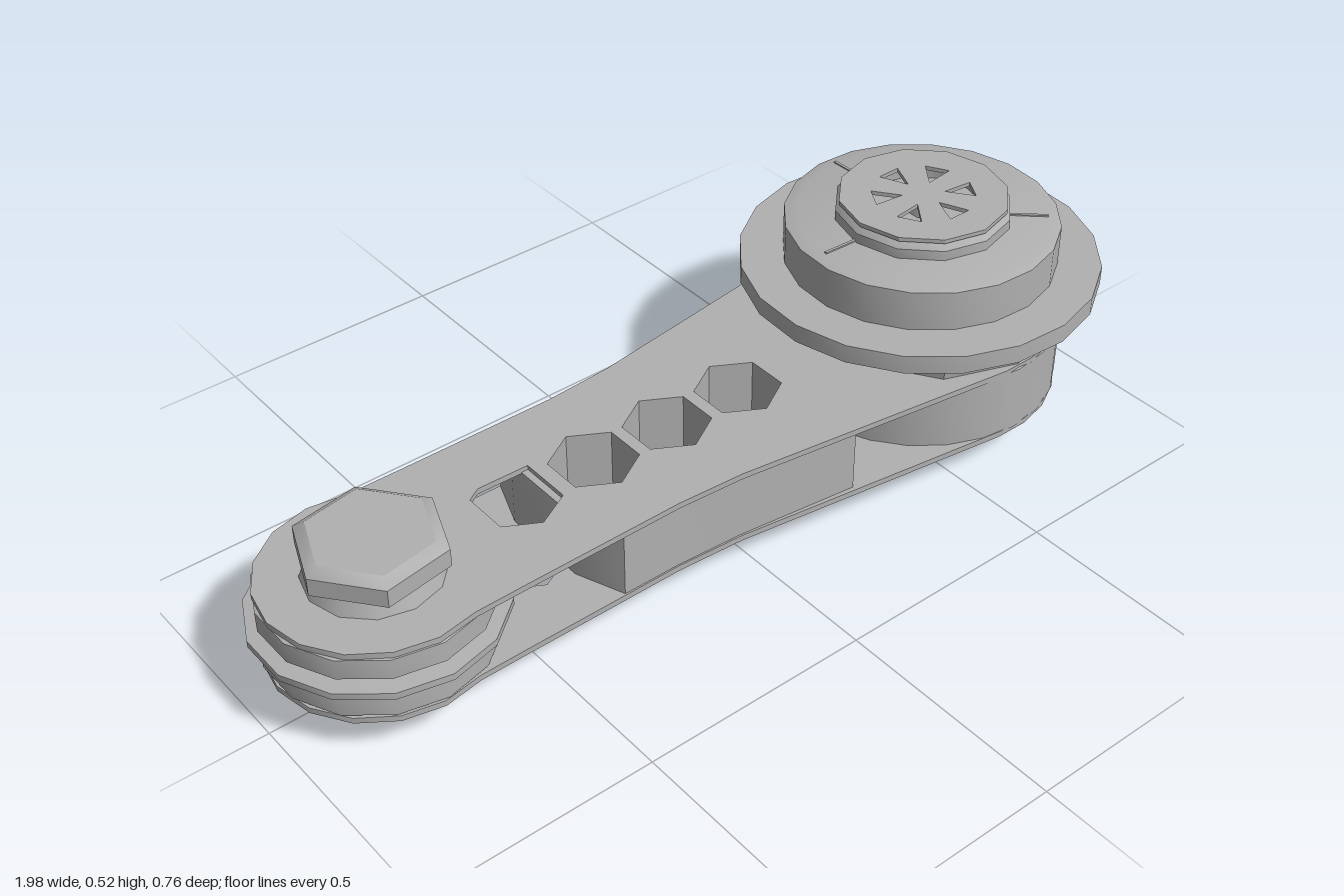
import * as THREE from 'three';
import { toCreasedNormals } from 'three/addons/utils/BufferGeometryUtils.js';

const steel = new THREE.MeshStandardMaterial({ color: 0xb0b0b0 });
steel.name = 'grey steel';

const WHEEL_X = 0.617, BOLT_X = -0.745;

export function createModel() {
  const model = new THREE.Group();
  model.name = 'tensionerArm';

  const add = (name, geometry, x = 0, y = 0, turn = 0) => {
    const mesh = new THREE.Mesh(geometry, steel);
    mesh.name = name;
    mesh.position.set(x, y, 0);
    mesh.rotation.y = turn;
    model.add(mesh);
    return mesh;
  };

  // Turned part: [radius, y] points listed from the bottom up around the outside
  const turned = (points, sides) => toCreasedNormals(
    new THREE.LatheGeometry(points.map(([r, y]) => new THREE.Vector2(r, y)), sides), 0.6);

  // Flat part cut from a shape seen from above, starting at height y
  const slab = (shape, y, depth) => {
    const g = new THREE.ExtrudeGeometry(shape, { depth, bevelEnabled: false });
    g.rotateX(-Math.PI / 2).translate(0, y, 0);
    return toCreasedNormals(g, 0.5);
  };

  const arc = (cx, r, from, to, n) => Array.from({ length: n + 1 }, (_, i) => {
    const a = THREE.MathUtils.degToRad(from + (to - from) * i / n);
    return new THREE.Vector2(cx + r * Math.cos(a), r * Math.sin(a));
  });
  const poly = (pts) => pts.map(([x, z]) => new THREE.Vector2(x, z));

  // Lightening holes: one squared-off and three hexagons
  const hexHoles = [-0.245, -0.063, 0.12].map((x) => arc(x, 0.09, 30, 330, 5));
  const squareHole = poly([[-0.5, 0.05], [-0.47, 0.068], [-0.355, 0.065],
    [-0.355, -0.05], [-0.43, -0.09], [-0.5, -0.05]]);
  const bore = arc(WHEEL_X, 0.215, 0, 330, 11);

  // Upper and lower plates
  const outline = [
    ...arc(BOLT_X, 0.225, 70, 290, 10),
    ...poly([[-0.55, -0.21], [-0.2, -0.208], [-0.05, -0.217]]),
    ...arc(WHEEL_X, 0.308, -97, 97, 14),
    ...poly([[-0.05, 0.217], [-0.2, 0.208], [-0.55, 0.21]]),
  ];
  for (const [name, y] of [['lowerPlate', 0.09], ['upperPlate', 0.247]]) {
    const plate = new THREE.Shape(outline);
    for (const hole of [squareHole, ...hexHoles, bore]) plate.holes.push(new THREE.Path(hole));
    add(name, slab(plate, y, 0.013));
  }

  // Core block between the plates
  const core = new THREE.Shape(poly([
    [-0.37, -0.1], [-0.33, -0.205], [-0.2, -0.205], [-0.05, -0.213], [0.22, -0.245], [0.27, -0.12],
    [0.27, 0.12], [0.22, 0.245], [-0.05, 0.213], [-0.2, 0.205], [-0.33, 0.205], [-0.37, 0.1],
  ]));
  for (const hole of hexHoles) core.holes.push(new THREE.Path(hole));
  add('coreBlock', slab(core, 0.1, 0.15));

  // Open ring at the wide end
  add('bearingRing', turned([[0.215, 0.092], [0.3, 0.092], [0.309, 0.1], [0.309, 0.25],
    [0.3, 0.258], [0.215, 0.258], [0.215, 0.092]], 24), WHEEL_X);

  // Faceted collar, slightly wider across z
  add('collar', turned([[0.2, 0.258], [0.28, 0.258], [0.287, 0.308], [0.2, 0.308], [0.2, 0.258]], 10),
    WHEEL_X).scale.set(0.95, 1, 1.08);
  add('neck', turned([[0, 0.325], [0.2, 0.325], [0.2, 0.3], [0.25, 0.3], [0.255, 0.33]], 16), WHEEL_X);

  // Flanged wheel
  add('wheel', turned([[0, 0.325], [0.27, 0.318], [0.288, 0.325], [0.288, 0.34], [0.38, 0.34], [0.38, 0.381],
    [0.288, 0.381], [0.288, 0.47], [0.262, 0.478], [0, 0.478]], 20), WHEEL_X, 0, 0.1);

  // Thin seams on top of the wheel
  for (const a of [-0.75, 1.6, 3.1]) {
    const seam = new THREE.BoxGeometry(0.08, 0.004, 0.006).translate(0.22, 0.479, 0);
    add('wheelSeam', seam, WHEEL_X, 0, a);
  }

  // Hub cap with a well under its pierced lid
  add('hubCap', turned([[0.185, 0.476], [0.185, 0.5], [0.172, 0.514], [0.13, 0.514],
    [0.13, 0.484], [0, 0.484]], 12), WHEEL_X);
  const lid = new THREE.Shape(arc(0, 0.178, 0, 330, 11));
  for (let i = 0; i < 6; i++) {
    const a = i * Math.PI / 3 + Math.PI / 6;
    const at = (r, w) => new THREE.Vector2(r * Math.cos(a) - w * Math.sin(a), r * Math.sin(a) + w * Math.cos(a));
    lid.holes.push(new THREE.Path([at(0.045, 0), at(0.105, -0.026), at(0.105, 0.026)]));
  }
  add('piercedLid', slab(lid, 0.514, 0.009), WHEEL_X);
  add('hubScrew', new THREE.CylinderGeometry(0.035, 0.035, 0.04, 6), WHEEL_X, 0.5);

  // Idler roller between the plates, with a thin flange at mid height
  add('idlerRoller', turned([[0, 0.1], [0.215, 0.1], [0.228, 0.11], [0.228, 0.155], [0.215, 0.165],
    [0.25, 0.17], [0.25, 0.185], [0.215, 0.188], [0.228, 0.2], [0.228, 0.245], [0.215, 0.25], [0, 0.25]], 14),
    BOLT_X);

  // Bolt head above, nut below, each on a washer
  add('upperWasher', new THREE.CylinderGeometry(0.125, 0.138, 0.035, 12), BOLT_X, 0.275);
  add('boltHead', turned([[0, 0.285], [0.13, 0.285], [0.15, 0.296], [0.15, 0.335], [0.125, 0.35], [0, 0.35]], 6),
    BOLT_X, 0, Math.PI / 2 + 0.15);
  add('lowerWasher', new THREE.CylinderGeometry(0.12, 0.12, 0.035, 12), BOLT_X, 0.076);
  add('nut', turned([[0, 0], [0.11, 0], [0.148, 0.014], [0.152, 0.055], [0.13, 0.066], [0, 0.066]], 6),
    BOLT_X, 0, 0.2);

  return model;
}
